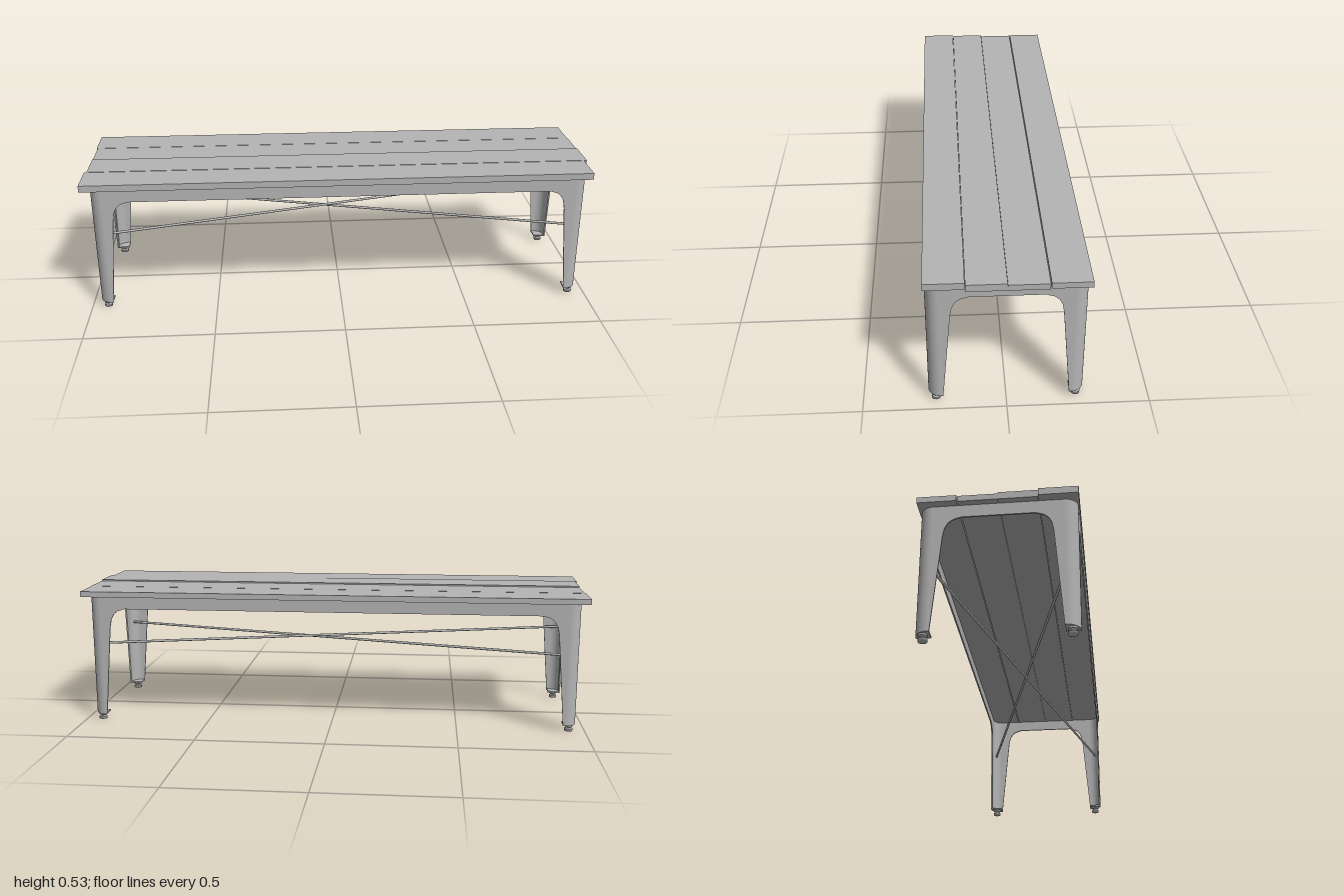
import * as THREE from 'three';

const HX = 0.965, HZ = 0.272;      // outer half sizes of the frame
const R = 0.045, WALL = 0.006;     // corner bend radius, sheet thickness
const FRAME_TOP = 0.507, LEG_BOTTOM = 0.025;

// Inner edge of a leg, as distance from the frame's outer face and height
const LEG_EDGE = [[0.052, LEG_BOTTOM], [0.083, 0.385], [0.089, 0.417], [0.1, 0.438], [0.116, 0.451], [0.145, 0.46]];

export function createModel() {
  const model = new THREE.Group();
  model.name = 'bench';
  const grey = new THREE.MeshStandardMaterial({ color: 0xb4b4b4 });
  grey.name = 'grey';

  const add = (name, geometry, parent = model) => {
    const mesh = new THREE.Mesh(geometry, grey);
    mesh.name = name;
    parent.add(mesh);
    return mesh;
  };

  // Seat planks: x from, x to, z from, z to, top height
  [
    [-1.0, 0.986, 0.1395, 0.277, 0.533],
    [-0.99, 0.998, 0.001, 0.138, 0.534],
    [-0.99, 0.998, -0.138, 0.0, 0.529],
    [-0.995, 0.995, -0.278, -0.141, 0.529],
  ].forEach(([x0, x1, z0, z1, top], i) => {
    const plank = add(`seatPlank${i + 1}`, new THREE.BoxGeometry(x1 - x0, top - FRAME_TOP, z1 - z0));
    plank.position.set((x0 + x1) / 2, (top + FRAME_TOP) / 2, (z0 + z1) / 2);
  });

  // Flat sheet with an apron and the flat side of two legs
  const panel = (half) => {
    const edge = LEG_EDGE.map(([d, y]) => [half - d, y]);
    const points = [
      [half - R, FRAME_TOP], [-half + R, FRAME_TOP], [-half + R, LEG_BOTTOM],
      ...edge.map(([x, y]) => [-x, y]),
      ...edge.slice().reverse(),
      [half - R, LEG_BOTTOM],
    ].map(([x, y]) => new THREE.Vector2(x, y));
    return new THREE.ExtrudeGeometry(new THREE.Shape(points), { depth: WALL, bevelEnabled: false });
  };
  const long = panel(HX).translate(0, 0, HZ - WALL);
  const short = panel(HZ).translate(0, 0, HX - WALL);
  add('frontApron', long);
  add('backApron', long).rotation.y = Math.PI;
  add('leftApron', short).rotation.y = Math.PI / 2;
  add('rightApron', short).rotation.y = -Math.PI / 2;

  // Bent corner sheet and bottom cap of a leg, centred on the bend axis
  const arc = new THREE.Shape();
  arc.absarc(0, 0, R, 0, Math.PI / 2, false);
  arc.absarc(0, 0, R - WALL, Math.PI / 2, 0, true);
  const upright = (shape, height) =>
    new THREE.ExtrudeGeometry(shape, { depth: height, bevelEnabled: false, curveSegments: 10 })
      .rotateX(-Math.PI / 2);
  const corner = upright(arc, FRAME_TOP - LEG_BOTTOM);
  const wedge = new THREE.Shape();
  wedge.moveTo(-0.006, -0.006);
  wedge.lineTo(R - WALL, -0.006);
  wedge.absarc(0, 0, R - WALL, 0, Math.PI / 2, false);
  wedge.lineTo(-0.006, R - WALL);
  const cap = upright(wedge, 0.006);

  // Screw-in levelling foot
  const foot = new THREE.LatheGeometry(
    [[0, 0], [0.016, 0], [0.016, 0.009], [0.016, 0.009], [0.011, 0.012], [0.011, 0.015],
      [0.016, 0.019], [0.016, 0.019], [0.016, 0.026], [0, 0.026]]
      .map(([x, y]) => new THREE.Vector2(x, y)), 20);

  for (const sx of [1, -1]) {
    for (const sz of [1, -1]) {
      const leg = new THREE.Group();
      leg.name = `${sz > 0 ? 'front' : 'back'}${sx > 0 ? 'Left' : 'Right'}Leg`;
      // The bend opens toward +x, -z before turning
      const turn = sx > 0 ? (sz > 0 ? -Math.PI / 2 : 0) : (sz > 0 ? Math.PI : Math.PI / 2);
      for (const [name, geometry] of [['legCorner', corner], ['legCap', cap]]) {
        const part = add(name, geometry, leg);
        part.position.set(sx * (HX - R), LEG_BOTTOM, sz * (HZ - R));
        part.rotation.y = turn;
      }
      add('levellingFoot', foot, leg).position.set(sx * 0.938, 0, sz * 0.245);
      model.add(leg);
    }
  }

  // Crossed diagonal brace rods, one passing over the other
  [[1, 0.303], [-1, 0.316]].forEach(([s, y], i) => {
    const a = new THREE.Vector3(-0.945, y, -0.252 * s);
    const b = new THREE.Vector3(0.945, y, 0.252 * s);
    const rod = add(`braceRod${i + 1}`, new THREE.CylinderGeometry(0.005, 0.005, a.distanceTo(b), 12));
    rod.position.set(0, y, 0);
    rod.quaternion.setFromUnitVectors(new THREE.Vector3(0, 1, 0), b.sub(a).normalize());
  });

  return model;
}
